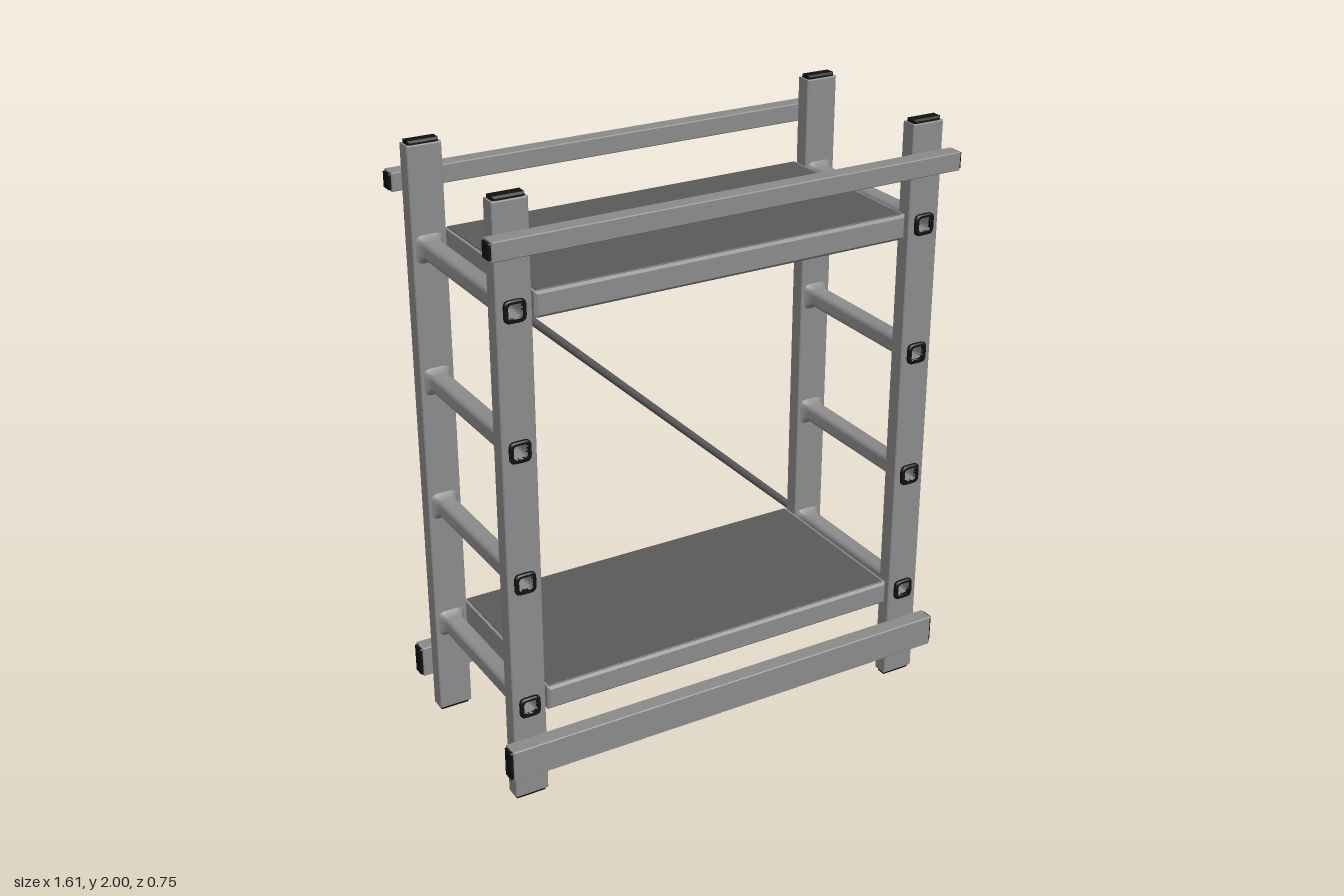
import * as THREE from 'three';
import { toCreasedNormals } from 'three/addons/utils/BufferGeometryUtils.js';

const steel = new THREE.MeshStandardMaterial({ color: 0x8a8a8a });
steel.name = 'grey steel';
const dark = new THREE.MeshStandardMaterial({ color: 0x5a5a5a });
dark.name = 'dark grey';
const black = new THREE.MeshStandardMaterial({ color: 0x111111 });
black.name = 'black plastic';

const LEVELS = [0.34, 0.78, 1.22, 1.66];
const POST_X = 0.712, POST_Z = 0.29;

function mesh(name, geometry, material, x = 0, y = 0, z = 0) {
  const m = new THREE.Mesh(geometry, material);
  m.name = name;
  m.position.set(x, y, z);
  return m;
}

function rectangle(target, cx, cy, w, h) {
  target.moveTo(cx - w / 2, cy - h / 2);
  target.lineTo(cx + w / 2, cy - h / 2);
  target.lineTo(cx + w / 2, cy + h / 2);
  target.lineTo(cx - w / 2, cy + h / 2);
  target.closePath();
  return target;
}

// Box with chamfered edges, optionally pierced along z at given heights
function block(w, h, d, bevel, holes = []) {
  const shape = rectangle(new THREE.Shape(), 0, 0, w - 2 * bevel, h - 2 * bevel);
  for (const y of holes) shape.holes.push(rectangle(new THREE.Path(), 0, y, 0.062, 0.062));
  const g = new THREE.ExtrudeGeometry(shape, {
    depth: d - 2 * bevel, bevelEnabled: true, bevelThickness: bevel, bevelSize: bevel, bevelSegments: 1,
  });
  return g.translate(0, 0, bevel - d / 2);
}

// Rounded-square sleeve along z, turned from [half width, z] pairs
function sleeve(profile) {
  const g = new THREE.LatheGeometry(profile.map(([r, z]) => new THREE.Vector2(r, z)), 40);
  const p = g.attributes.position;
  for (let i = 0; i < p.count; i++) {
    const x = p.getX(i), z = p.getZ(i), r = Math.hypot(x, z);
    const k = Math.pow(Math.pow(Math.abs(x / r), 5) + Math.pow(Math.abs(z / r), 5), -1 / 5);
    p.setX(i, x * k);
    p.setZ(i, z * k);
  }
  g.rotateX(Math.PI / 2);
  return toCreasedNormals(g, 0.6);
}

export function createModel() {
  const model = new THREE.Group();
  model.name = 'scaffold';

  // Four uprights with end plugs
  const postGeo = block(0.113, 1.976, 0.055, 0.003, LEVELS.map((y) => y - 1));
  const plugGeo = block(0.1, 0.03, 0.044, 0.006);
  for (const x of [-POST_X, POST_X]) {
    for (const z of [-POST_Z, POST_Z]) {
      model.add(mesh('post', postGeo, steel, x, 1, z));
      model.add(mesh('postFoot', plugGeo, black, x, 0.015, z));
      model.add(mesh('postCap', plugGeo, black, x, 1.985, z));
    }
  }

  // Hollow rungs, flared where they meet the posts
  const rungGeo = sleeve([
    [0.024, -0.325], [0.033, -0.325], [0.033, -0.27], [0.046, -0.263], [0.037, -0.254], [0.03, -0.235],
    [0.03, 0.235], [0.037, 0.254], [0.046, 0.263], [0.033, 0.27], [0.033, 0.325], [0.024, 0.325], [0.024, -0.325],
  ]);
  const ringGeo = sleeve([
    [0.024, -0.008], [0.031, -0.008], [0.035, -0.004], [0.035, 0.004], [0.031, 0.008], [0.024, 0.008], [0.024, -0.008],
  ]);
  for (const x of [-POST_X, POST_X]) {
    for (const y of LEVELS) {
      model.add(mesh('rung', rungGeo, steel, x, y, 0));
      for (const z of [-0.322, 0.322]) model.add(mesh('rungEndRing', ringGeo, black, x, y, z));
    }
  }

  // Two decks: steel frame with dark boards above and below
  const frameGeo = block(1.29, 0.08, 0.632, 0.008);
  const boardGeo = block(1.27, 0.008, 0.612, 0.002);
  for (const y of [LEVELS[0], LEVELS[3]]) {
    model.add(mesh('deckFrame', frameGeo, steel, 0, y, 0));
    model.add(mesh('deckTop', boardGeo, dark, 0, y + 0.039, 0));
    model.add(mesh('deckUnderside', boardGeo, dark, 0, y - 0.039, 0));
  }

  // Guard rails and toe boards, front and back, with end plugs
  for (const [name, y, h] of [['guardRail', 1.866, 0.06], ['toeBoard', 0.173, 0.108]]) {
    const barGeo = block(1.598, h, 0.056, 0.003);
    const endGeo = block(0.02, h - 0.01, 0.046, 0.004);
    for (const z of [-0.347, 0.347]) {
      model.add(mesh(name, barGeo, steel, 0, y, z));
      for (const x of [-0.797, 0.797]) model.add(mesh(name + 'Plug', endGeo, black, x, y, z));
    }
  }

  // Diagonal brace at the back, its ends bent into the rungs
  const a = new THREE.Vector3(-0.705, 1.655, -0.3), b = new THREE.Vector3(0.705, 0.345, -0.3);
  const a1 = a.clone().setZ(-0.328), b1 = b.clone().setZ(-0.34);
  const aBend = a.clone().setZ(-0.342), bBend = b.clone().setZ(-0.358);
  const a2 = aBend.clone().lerp(bBend, 0.02), b2 = bBend.clone().lerp(aBend, 0.02);
  const path = new THREE.CurvePath();
  path.add(new THREE.LineCurve3(a, a1));
  path.add(new THREE.QuadraticBezierCurve3(a1, aBend, a2));
  path.add(new THREE.LineCurve3(a2, b2));
  path.add(new THREE.QuadraticBezierCurve3(b2, bBend, b1));
  path.add(new THREE.LineCurve3(b1, b));
  model.add(mesh('brace', new THREE.TubeGeometry(path, 260, 0.014, 12), dark));
  const tipGeo = new THREE.SphereGeometry(0.014, 12, 8);
  for (const p of [a, b]) model.add(mesh('braceTip', tipGeo, dark, p.x, p.y, p.z));

  return model;
}
